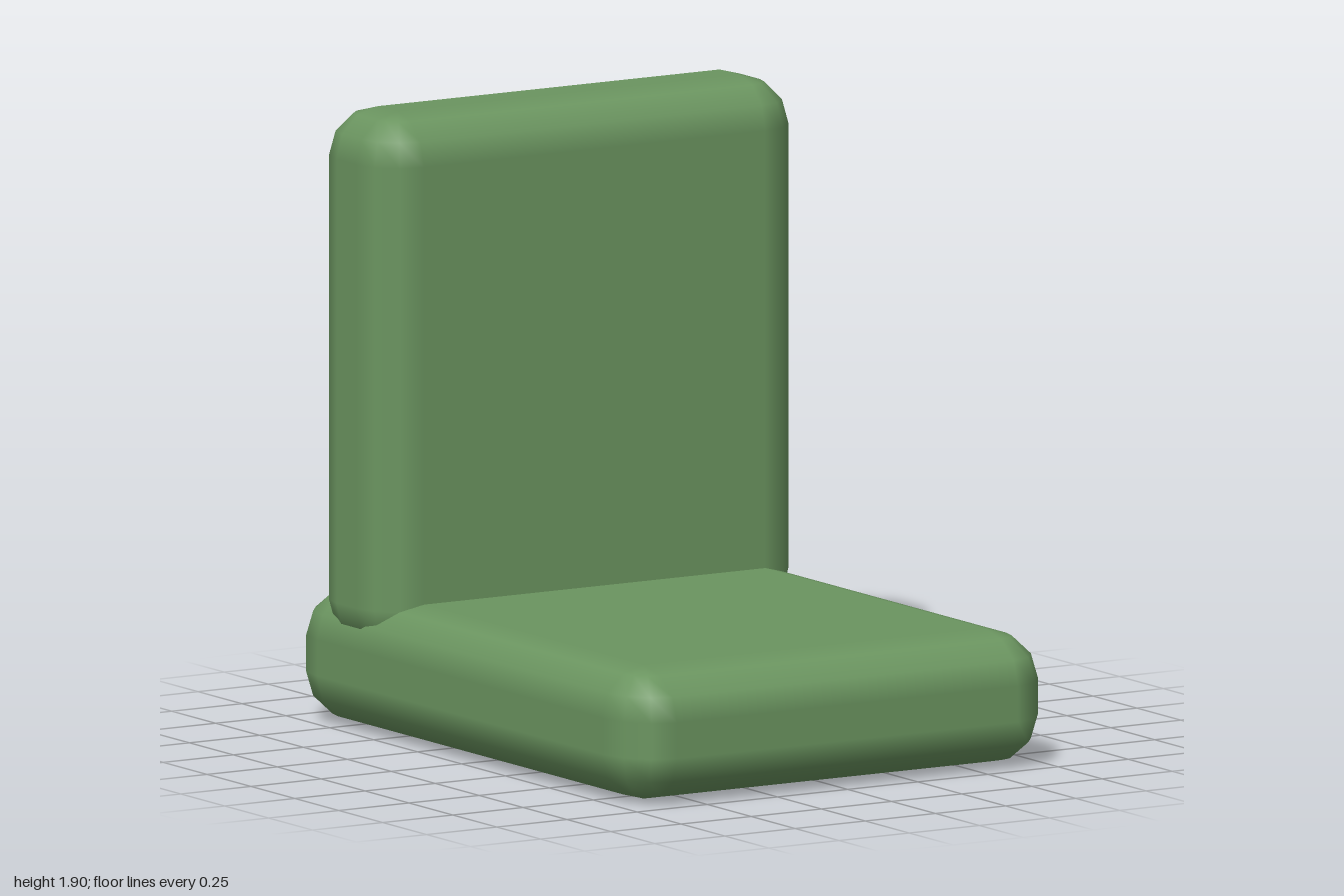
import * as THREE from 'three';

const ARC = 3; // segments per rounded quarter

// Rounded cushion: a sphere split into eight octants that are pushed apart.
function cushionGeometry(size, radius) {
  const n = ARC + 1, cols = 4 * n, rows = 2 * n + 1;
  const geo = new THREE.SphereGeometry(1, cols, rows);
  const pos = geo.attributes.position, nor = geo.attributes.normal;
  const core = size.clone().multiplyScalar(0.5).sub(radius);
  const step = Math.PI / 2 / ARC;
  for (let j = 0; j <= rows; j++) {
    for (let i = 0; i <= cols; i++) {
      const k = j * (cols + 1) + i;
      const cap = j === 0 || j === rows; // centre of the flat top or bottom
      const half = j <= n ? 0 : 1;
      const theta = cap ? half * Math.PI : (half * ARC + (j - 1) % n) * step;
      const quad = Math.floor(i / n) % 4;
      const phi = (quad * ARC + i % n) * step;
      const d = new THREE.Vector3(-Math.cos(phi) * Math.sin(theta), Math.cos(theta), Math.sin(phi) * Math.sin(theta));
      const sx = cap ? 0 : quad === 1 || quad === 2 ? 1 : -1;
      const sz = cap ? 0 : quad < 2 ? 1 : -1;
      pos.setXYZ(k,
        d.x * radius.x + sx * core.x,
        d.y * radius.y + (half ? -1 : 1) * core.y,
        d.z * radius.z + sz * core.z);
      d.divide(radius).normalize();
      nor.setXYZ(k, d.x, d.y, d.z);
    }
  }
  return geo;
}

export function createModel() {
  const group = new THREE.Group();
  group.name = 'cushionChair';
  const fabric = new THREE.MeshStandardMaterial({ color: 0x6b9560 });

  const addCushion = (name, size, radius, position) => {
    const geo = cushionGeometry(new THREE.Vector3(...size), new THREE.Vector3(...radius));
    const mesh = new THREE.Mesh(geo, fabric);
    mesh.name = name;
    mesh.position.set(...position);
    group.add(mesh);
  };

  // Flat seat and upright back, sunk slightly into the seat
  addCushion('seat', [1.515, 0.41, 2], [0.15, 0.15, 0.19], [0, 0.205, 0]);
  addCushion('backrest', [1.515, 1.66, 0.41], [0.15, 0.15, 0.15], [0, 1.07, -0.645]);
  return group;
}
